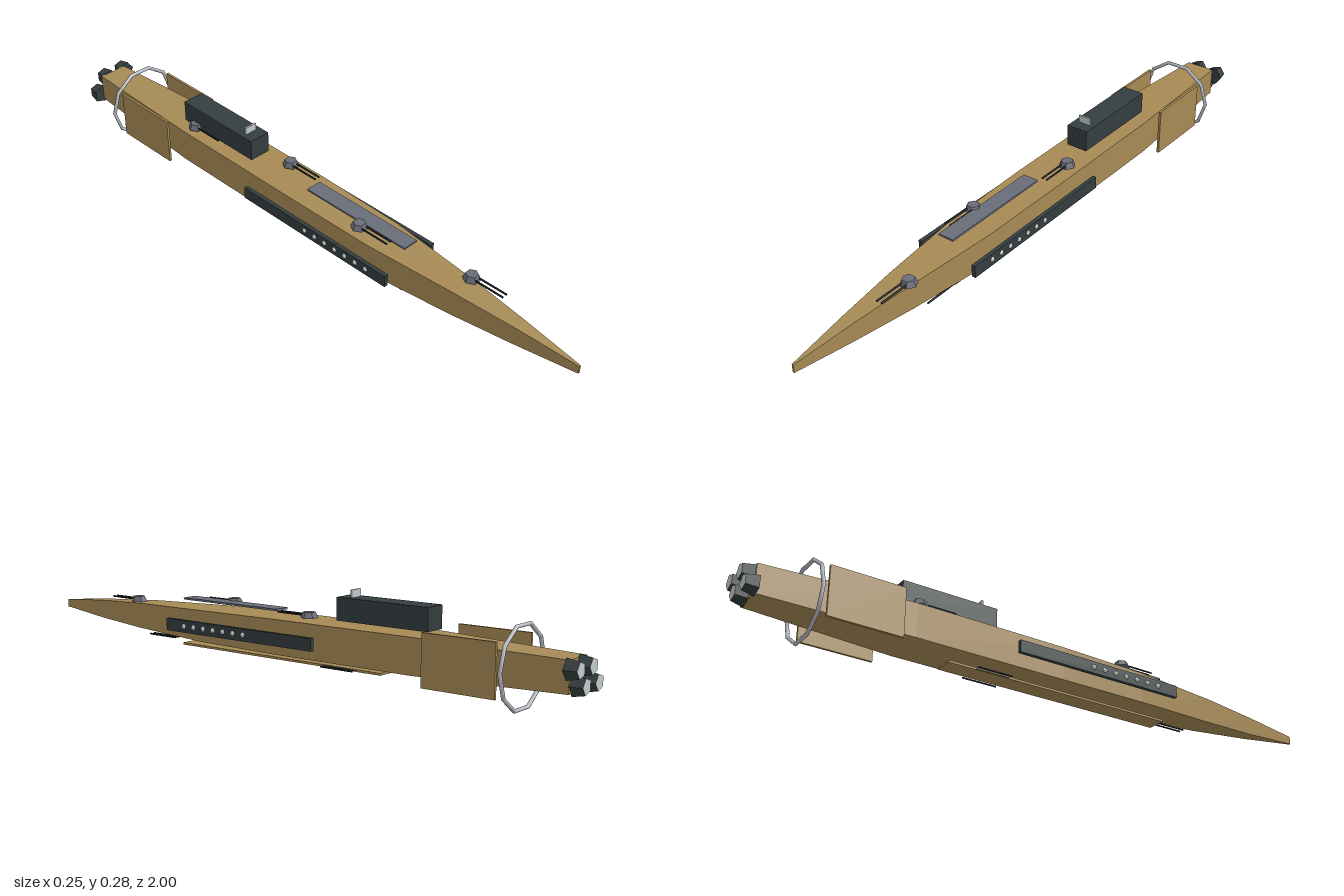
import * as THREE from 'three';

const mat = (name, color) => {
  const m = new THREE.MeshStandardMaterial({ color });
  m.name = name;
  return m;
};

// Faceted copy of a geometry
const faceted = (geo) => {
  const g = geo.toNonIndexed();
  g.computeVertexNormals();
  return g;
};

// Rectangular hull lofted from sections [z, halfWidth, bottom, top], bow to stern
function hullGeometry(sections) {
  const rings = sections.map(([z, w, b, t]) => [[-w, b, z], [w, b, z], [w, t, z], [-w, t, z]]);
  const pos = [];
  const quad = (a, b, c, d) => pos.push(...a, ...b, ...c, ...a, ...c, ...d);
  for (let i = 0; i < rings.length - 1; i++) {
    const f = rings[i], r = rings[i + 1];
    for (let k = 0; k < 4; k++) {
      const n = (k + 1) % 4;
      quad(f[k], r[k], r[n], f[n]);
    }
  }
  const last = rings[rings.length - 1];
  quad(...rings[0]);
  quad(last[3], last[2], last[1], last[0]);
  const g = new THREE.BufferGeometry();
  g.setAttribute('position', new THREE.Float32BufferAttribute(pos, 3));
  g.computeVertexNormals();
  return g;
}

export function createModel() {
  const model = new THREE.Group();
  model.name = 'spaceCruiser';
  const tan = mat('hullTan', 0xa68a55);
  const dark = mat('darkArmor', 0x343d3f);
  const grey = mat('turretGrey', 0x696d78);
  const silver = mat('ringSilver', 0xb6bac2);
  const pale = mat('paleGrey', 0xc2cacb);
  const black = mat('barrelBlack', 0x1c2123);

  const add = (name, geo, material, x = 0, y = 0, z = 0, parent = model) => {
    const m = new THREE.Mesh(geo, material);
    m.name = name;
    m.position.set(x, y, z);
    parent.add(m);
    return m;
  };
  // Box given by its extents on each axis
  const box = (name, material, [x0, x1], [y0, y1], [z0, z1]) =>
    add(name, new THREE.BoxGeometry(x1 - x0, y1 - y0, z1 - z0), material,
      (x0 + x1) / 2, (y0 + y1) / 2, (z0 + z1) / 2);

  // Hull
  add('hull', hullGeometry([
    [1, 0.003, 0.111, 0.137],
    [0.8, 0.022, 0.094, 0.154],
    [0.6, 0.042, 0.083, 0.165],
    [0.3, 0.068, 0.073, 0.173],
    [0, 0.073, 0.07, 0.177],
    [-0.5, 0.073, 0.07, 0.178],
    [-0.965, 0.048, 0.078, 0.168],
  ]), tan);

  // Bridge block with its upright screen, deck strip and keel plate
  box('bridge', dark, [-0.036, 0.036], [0.19, 0.259], [-0.53, -0.215]);
  box('bridgeScreen', pale, [-0.021, 0.021], [0.25, 0.282], [-0.26, -0.254]);
  box('deckStrip', grey, [-0.026, 0.026], [0.193, 0.199], [0.02, 0.41]);
  box('keelPlate', tan, [-0.031, 0.031], [0.046, 0.053], [-0.37, 0.41]);

  // Side fins, armour belts and their lamps
  const lamp = new THREE.SphereGeometry(0.009, 8, 6);
  for (const s of [1, -1]) {
    const side = (a, b) => (s > 0 ? [a, b] : [-b, -a]);
    box('sideFin', tan, side(0.09, 0.098), [0.046, 0.2], [-0.78, -0.55]);
    box('armorBelt', dark, side(0.092, 0.105), [0.103, 0.142], [-0.175, 0.41]);
    for (let i = 0; i < 7; i++) add('lamp', lamp, pale, s * 0.102, 0.123, 0.088 + i * 0.041);
  }

  // Ten-sided ring around the stern
  add('sternRing', new THREE.TorusGeometry(0.119, 0.006, 8, 10), silver, 0, 0.122, -0.805);

  // Gun turrets on deck, alternating sides
  const turretGeo = faceted(new THREE.CylinderGeometry(0.019, 0.027, 0.018, 6).rotateY(Math.PI / 6));
  const barrelGeo = new THREE.CylinderGeometry(0.003, 0.003, 0.115, 6).rotateX(Math.PI / 2);
  const barrels = (x, y, z, parent) => {
    for (const s of [1, -1]) add('barrel', barrelGeo, black, x + s * 0.008, y, z + 0.0575, parent);
  };
  [[0.036, 0.179, 0.605], [-0.037, 0.197, 0.245], [0.036, 0.197, -0.115], [-0.037, 0.197, -0.475]]
    .forEach(([x, y, z]) => {
      const turret = new THREE.Group();
      turret.name = 'turret';
      turret.position.set(x, y, z);
      model.add(turret);
      add('turretBody', turretGeo, grey, 0, 0, 0, turret);
      barrels(0, -0.001, 0, turret);
    });

  // Guns under the hull
  barrels(0.037, 0.069, 0.43, model);
  for (const s of [1, -1]) barrels(s * 0.037, 0.049, -0.28, model);

  // Five-sided engine nozzles in a zigzag row, pale at the exhaust
  const nozzle = faceted(new THREE.CylinderGeometry(0.024, 0.0315, 0.037, 5)
    .rotateX(-Math.PI / 2).rotateZ(-Math.PI / 2));
  for (let i = 0; i < 4; i++) {
    add('engineNozzle', nozzle, [dark, pale, dark],
      -0.054 + i * 0.036, i % 2 ? 0.147 : 0.099, -0.9815);
  }

  // Stand the model on the ground
  const bounds = new THREE.Box3().setFromObject(model);
  model.children.forEach((c) => { c.position.y -= bounds.min.y; });
  return model;
}
